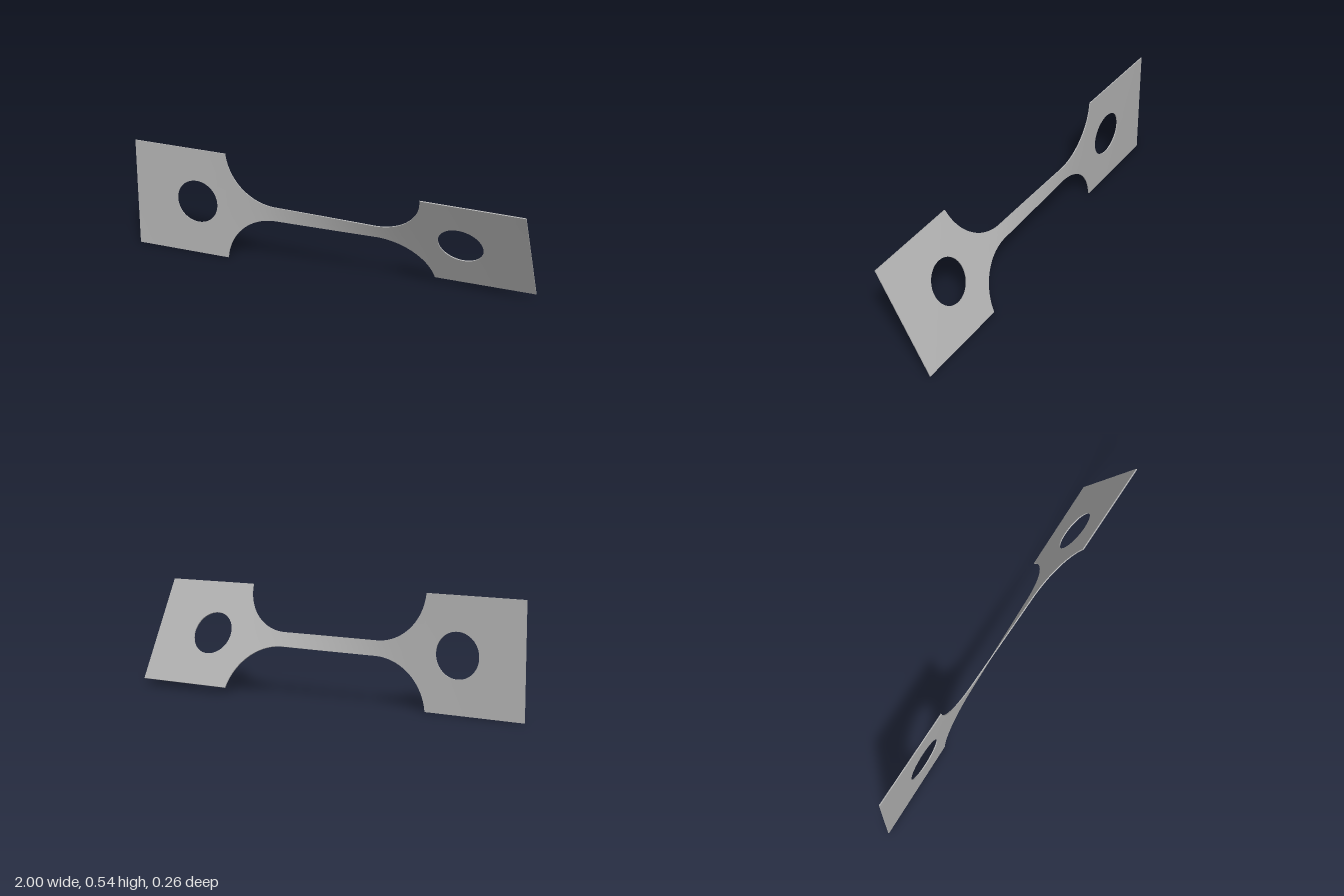
import * as THREE from 'three';

const H = 0.271;        // half height of the end plates
const W = 0.036;        // half width of the narrow neck
const R = 0.26;         // shoulder fillet radius
const EDGE = 0.511;     // where the end plates meet the fillets
const T = 0.0025;       // half thickness
const HOLE_X = 0.67, HOLE_R = 0.108;
const TWIST = THREE.MathUtils.degToRad(28.7);
const ARC = Math.sqrt(R * R - (W + R - H) ** 2);

// half width of the outline at x
function outer(x) {
  const d = EDGE - Math.abs(x);
  if (d <= 0) return H;
  if (d >= ARC) return W;
  return W + R - Math.sqrt(R * R - (ARC - d) ** 2);
}

// half height of the hole at x
function inner(x) {
  const d = Math.abs(x) - HOLE_X;
  return Math.sqrt(Math.max(0, HOLE_R * HOLE_R - d * d));
}

// twist builds up mostly where the strip is narrow
const STEPS = 800;
const twistTable = [0];
for (let i = 0; i < STEPS; i++) {
  const x = -1 + 2 * (i + 0.5) / STEPS;
  twistTable.push(twistTable[i] + outer(x) ** -1.5);
}
function twistAt(x) {
  const f = (x + 1) / 2 * STEPS;
  const i = Math.min(STEPS - 1, Math.floor(f));
  const t = THREE.MathUtils.lerp(twistTable[i], twistTable[i + 1], f - i);
  return TWIST * t / twistTable[STEPS];
}

// flat strip point rotated about the long axis
function place(x, y, z) {
  const a = twistAt(x), c = Math.cos(a), s = Math.sin(a);
  return [x, H + y * c - z * s, y * s + z * c];
}

// grid surface over us x [0..nv]
function surface(us, nv, fn, flip = false) {
  const pos = [], index = [];
  for (const u of us) for (let j = 0; j <= nv; j++) pos.push(...place(...fn(u, j / nv)));
  for (let i = 0; i < us.length - 1; i++) {
    for (let j = 0; j < nv; j++) {
      const a = i * (nv + 1) + j, b = a + nv + 1;
      if (flip) index.push(a, b + 1, b, a, a + 1, b + 1);
      else index.push(a, b, b + 1, a, b + 1, a + 1);
    }
  }
  const g = new THREE.BufferGeometry();
  g.setAttribute('position', new THREE.Float32BufferAttribute(pos, 3));
  g.setIndex(index);
  g.computeVertexNormals();
  return g;
}

// n + 1 values from a to b, bunched toward a chosen end
const range = (a, b, n, ease = t => t) =>
  Array.from({ length: n + 1 }, (_, i) => a + (b - a) * ease(i / n));
const bothEnds = t => (1 - Math.cos(Math.PI * t)) / 2;
const firstEnd = t => 1 - Math.cos(t * Math.PI / 2);

export function createModel() {
  const group = new THREE.Group();
  group.name = 'twistedTestStrip';
  const steel = new THREE.MeshStandardMaterial({ color: 0xb4b4b4 });
  steel.name = 'grey steel';
  const add = (name, geometry) => {
    const mesh = new THREE.Mesh(geometry, steel);
    mesh.name = name;
    group.add(mesh);
  };

  // stations along the length, finer at holes and fillets
  const holeRight = range(HOLE_X - HOLE_R, HOLE_X + HOLE_R, 40, bothEnds);
  const holeLeft = holeRight.map(x => -x).reverse();
  const half = [
    ...range(0, EDGE - ARC, 16),
    ...range(EDGE, EDGE - ARC, 32, firstEnd).reverse().slice(1),
    ...holeRight,
    ...range(HOLE_X + HOLE_R, 1, 6).slice(1),
  ];
  const xs = [...half.slice(1).map(x => -x).reverse(), ...half];

  // faces and rims, upper and lower halves
  for (const [side, s] of [['upper', 1], ['lower', -1]]) {
    const band = z => (x, v) => [x, s * THREE.MathUtils.lerp(inner(x), outer(x), v), z];
    add(side + 'FrontFace', surface(xs, 6, band(T), s < 0));
    add(side + 'BackFace', surface(xs, 6, band(-T), s > 0));
    add(side + 'Rim', surface(xs, 1, (x, v) => [x, s * outer(x), s * T * (1 - 2 * v)]));
    for (const [end, hole] of [['left', holeRight], ['right', holeLeft]]) {
      add(end + side + 'HoleWall',
        surface(hole, 1, (x, v) => [x, s * inner(x), -s * T * (1 - 2 * v)]));
    }
  }

  // flat end edges
  for (const [end, x] of [['left', 1], ['right', -1]]) {
    add(end + 'EndEdge',
      surface(range(-H, H, 8), 1, (y, v) => [x, y, T * (2 * v - 1)], x < 0));
  }
  return group;
}
